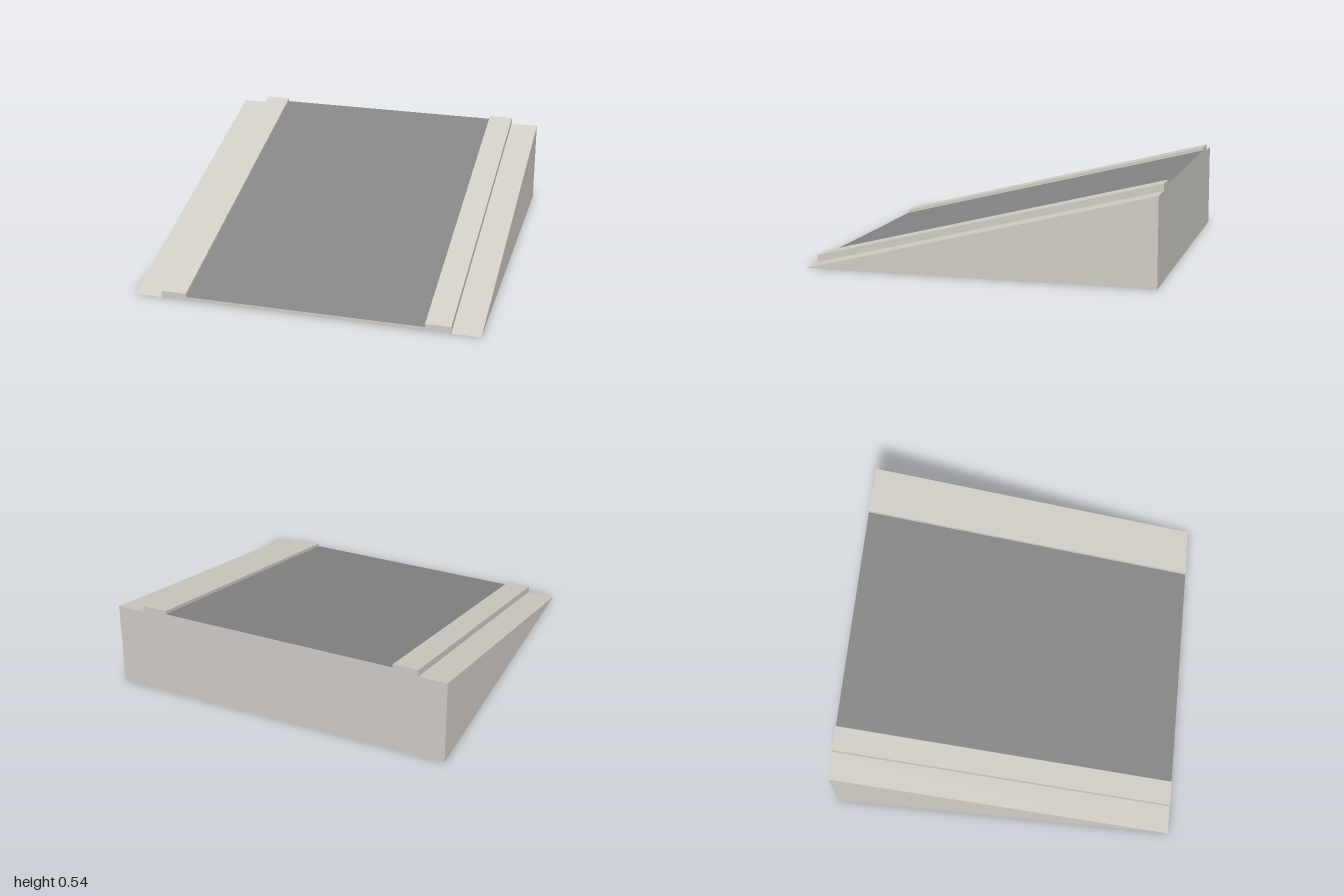
import * as THREE from 'three';

const RISE = 0.5;   // height gained from the front (z = 1) to the back (z = -1)
const KERB = 0.04;  // kerb height above the outer margins
const ROAD = 0.02;  // road height above the outer margins
const X_OUT = 1, X_KERB = 0.835, X_ROAD = 0.69;

export function createModel() {
  const group = new THREE.Group();
  group.name = 'ramp';

  const concrete = new THREE.MeshStandardMaterial({ color: 0xd2cec7, side: THREE.DoubleSide });
  concrete.name = 'pale concrete';
  const asphalt = new THREE.MeshStandardMaterial({ color: 0x868686, side: THREE.DoubleSide });
  asphalt.name = 'dark asphalt';

  // Flat panel from corners given counter-clockwise as seen from outside
  function panel(name, corners, material) {
    const geometry = new THREE.BufferGeometry();
    geometry.setAttribute('position', new THREE.Float32BufferAttribute(corners.flat(), 3));
    const index = [];
    for (let i = 1; i < corners.length - 1; i++) index.push(0, i, i + 1);
    geometry.setIndex(index);
    geometry.computeVertexNormals();
    const mesh = new THREE.Mesh(geometry, material);
    mesh.name = name;
    group.add(mesh);
  }

  // Sloping strip running front to back between two section points
  function strip(name, [x0, y0], [x1, y1], material) {
    panel(name, [[x0, y0, 1], [x1, y1, 1], [x1, y1 + RISE, -1], [x0, y0 + RISE, -1]], material);
  }

  // Cross-section of the deck at the front edge, from -x to +x
  const half = [[X_OUT, 0], [X_KERB, 0], [X_KERB, KERB], [X_ROAD, KERB], [X_ROAD, ROAD]];
  const section = [...half.map(([x, y]) => [-x, y]), ...half.slice().reverse()];
  const names = ['rightMargin', 'rightKerbOuterSide', 'rightKerbTop', 'rightKerbInnerSide', 'road',
    'leftKerbInnerSide', 'leftKerbTop', 'leftKerbOuterSide', 'leftMargin'];
  names.forEach((name, i) => {
    strip(name, section[i], section[i + 1], name === 'road' ? asphalt : concrete);
  });

  // Upright end faces under each level part of the deck; the underside stays open
  for (let i = 0; i < section.length - 1; i += 2) {
    const [x0, y] = section[i];
    const x1 = section[i + 1][0];
    if (y > 0) panel('frontEdge', [[x0, 0, 1], [x1, 0, 1], [x1, y, 1], [x0, y, 1]], concrete);
    const top = y + RISE;
    panel('backWall', [[x1, 0, -1], [x0, 0, -1], [x0, top, -1], [x1, top, -1]], concrete);
  }

  // Triangular side walls
  panel('leftWall', [[X_OUT, 0, 1], [X_OUT, 0, -1], [X_OUT, RISE, -1]], concrete);
  panel('rightWall', [[-X_OUT, 0, -1], [-X_OUT, 0, 1], [-X_OUT, RISE, -1]], concrete);

  return group;
}
